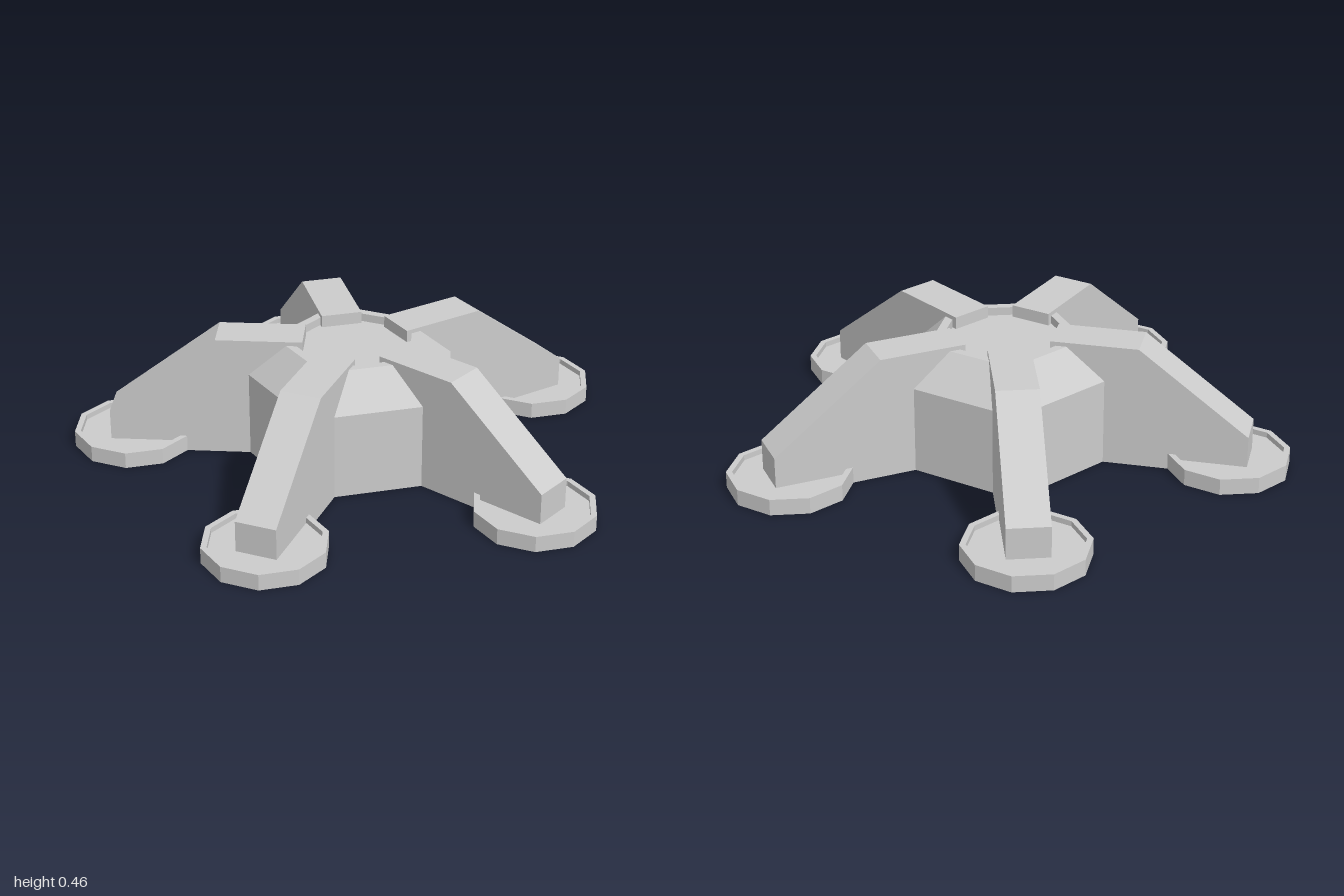
import * as THREE from 'three';

const material = new THREE.MeshStandardMaterial({
  color: 0xcccccc, flatShading: true, side: THREE.DoubleSide,
});

// Faceted solid turned around y from [radius, height] pairs
function turned(name, points, sides, phase = 0) {
  const profile = points.map(([r, y]) => new THREE.Vector2(r, y));
  const geometry = new THREE.LatheGeometry(profile, sides, phase).toNonIndexed();
  geometry.computeVertexNormals();
  const mesh = new THREE.Mesh(geometry, material);
  mesh.name = name;
  return mesh;
}

// Hollow leg shell, open below, running outwards along +z
function legGeometry(halfWidth) {
  const profile = [[0.18, 0], [0.18, 0.455], [0.495, 0.455], [0.89, 0.155], [0.89, 0]];
  const n = profile.length;
  const positions = [];
  for (const x of [halfWidth, -halfWidth]) {
    for (const [z, y] of profile) positions.push(x, y, z);
  }
  const index = [];
  // inner end, top, slope and outer end
  for (let i = 0; i < n - 1; i++) {
    index.push(i, i + n, i + n + 1, i, i + n + 1, i + 1);
  }
  // both flanks
  for (let i = 1; i < n - 1; i++) {
    index.push(0, i, i + 1, n, n + i + 1, n + i);
  }
  const geometry = new THREE.BufferGeometry();
  geometry.setAttribute('position', new THREE.Float32BufferAttribute(positions, 3));
  geometry.setIndex(index);
  const flat = geometry.toNonIndexed();
  flat.computeVertexNormals();
  return flat;
}

export function createModel() {
  const model = new THREE.Group();
  model.name = 'fiveLeggedBase';

  // Five-sided hub, open below, with a bevelled shoulder and recessed top
  model.add(turned('hub', [
    [0.43, 0], [0.43, 0.32], [0.293, 0.44], [0.255, 0.44], [0.255, 0.41], [0, 0.41],
  ], 5));

  // Five legs, each ending on a ten-sided rimmed foot pad
  const legShape = legGeometry(0.075);
  for (let i = 0; i < 5; i++) {
    const arm = new THREE.Group();
    arm.name = `arm${i + 1}`;
    arm.rotation.y = (i * Math.PI * 2) / 5;

    const leg = new THREE.Mesh(legShape, material);
    leg.name = 'leg';

    const pad = turned('footPad', [
      [0, 0.03], [0.2, 0.03], [0.2, 0], [0.222, 0],
      [0.222, 0.06], [0.2, 0.06], [0.2, 0.04], [0, 0.04],
    ], 10, Math.PI / 10);
    pad.position.z = 0.815;

    arm.add(leg, pad);
    model.add(arm);
  }

  // Shift so the footprint is centred front to back
  model.children.forEach((part) => { part.position.z = -0.08; });
  return model;
}
